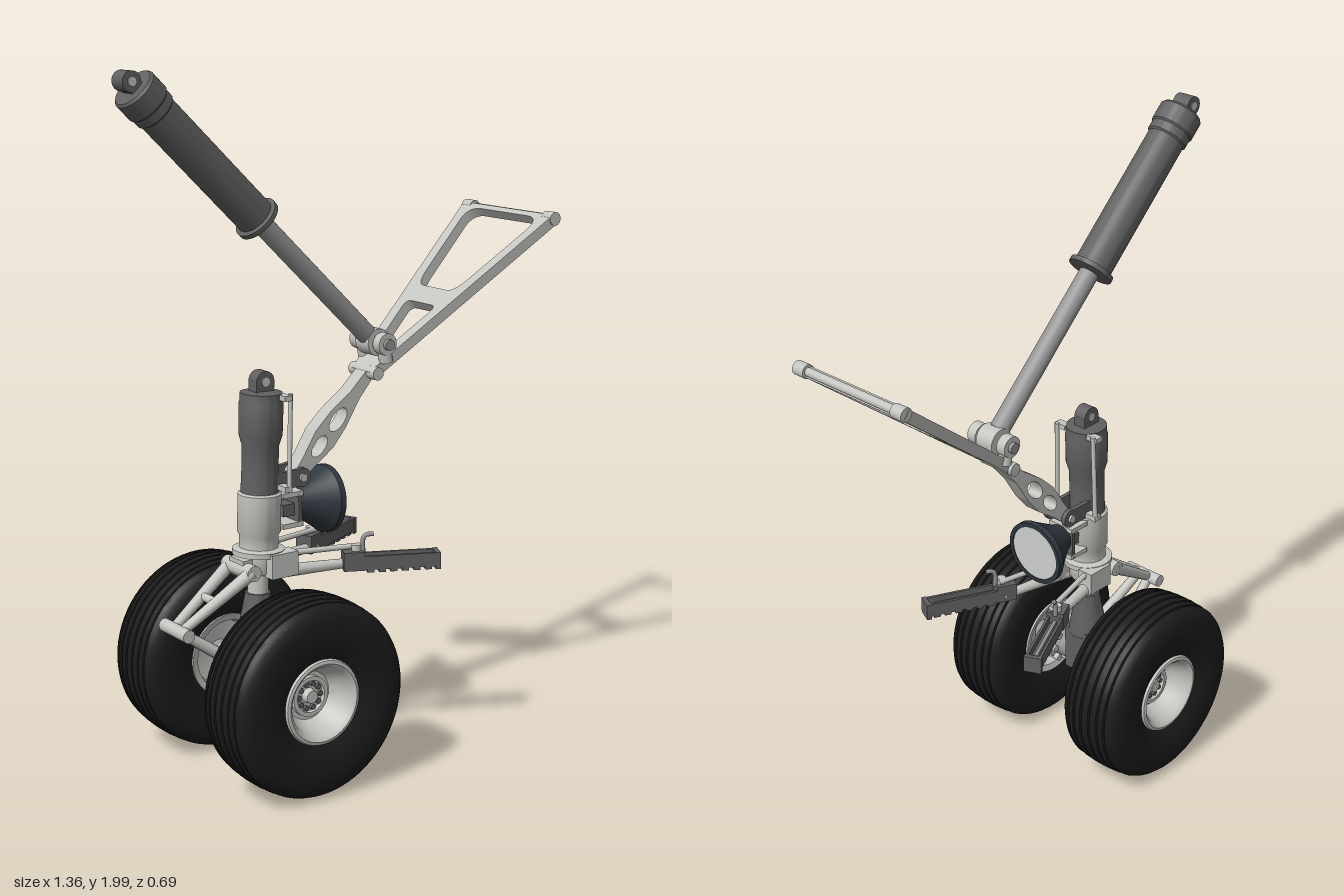
import * as THREE from 'three';
import { toCreasedNormals } from 'three/addons/utils/BufferGeometryUtils.js';

export function createModel() {
  const model = new THREE.Group();
  model.name = 'landingGear';
  const mat = (name, color, side = THREE.FrontSide) => {
    const m = new THREE.MeshStandardMaterial({ color, side });
    m.name = name;
    return m;
  };
  const rubber = mat('tyre rubber', 0x1c1c1c);
  const dark = mat('dark grey metal', 0x606060);
  const mid = mat('mid grey metal', 0x949494);
  const light = mat('light grey metal', 0xc4c4c0);
  const lampBody = mat('lamp housing', 0x2f373e, THREE.DoubleSide);
  const lens = mat('lamp lens', 0xd2d4d4);

  const V = (x, y, z = 0) => new THREE.Vector3(x, y, z);
  const UP = V(0, 1, 0);
  const add = (name, geo, material, parent = model) => {
    const m = new THREE.Mesh(geo, material);
    m.name = name;
    parent.add(m);
    return m;
  };
  // tapered cylinder between two points
  const rod = (name, a, b, r1, r2, material, parent = model, seg = 24) => {
    const m = add(name, new THREE.CylinderGeometry(r2, r1, a.distanceTo(b), seg), material, parent);
    m.position.copy(a).lerp(b, 0.5);
    m.quaternion.setFromUnitVectors(UP, b.clone().sub(a).normalize());
    return m;
  };
  // cylinder lying across the gear
  const pin = (name, x, y, r, z, len, material, parent = model) =>
    rod(name, V(x, y, z - len / 2), V(x, y, z + len / 2), r, r, material, parent);
  const box = (name, w, h, d, x, y, z, material, parent = model) => {
    const m = add(name, new THREE.BoxGeometry(w, h, d), material, parent);
    m.position.set(x, y, z);
    return m;
  };
  const lathe = (name, pts, material, parent = model, seg = 48) =>
    add(name, toCreasedNormals(new THREE.LatheGeometry(pts.map(p => new THREE.Vector2(...p)), seg), 0.6), material, parent);
  const poly = pts => pts.map(p => new THREE.Vector2(...p));
  const plate = (name, outline, holes, depth, material, parent = model) => {
    const s = new THREE.Shape(poly(outline));
    holes.forEach(h => s.holes.push(h));
    const g = new THREE.ExtrudeGeometry(s, { depth, bevelEnabled: false, curveSegments: 16 });
    return add(name, g.translate(0, 0, -depth / 2), material, parent);
  };
  const oval = (x, y, rx, ry) => new THREE.Path().absellipse(x, y, rx, ry, 0, Math.PI * 2, true);
  // hole with rounded corners
  const roundHole = (pts, t = 0.18) => {
    const p = poly(pts), h = new THREE.Path(), n = p.length;
    p.forEach((c, i) => {
      const a = c.clone().lerp(p[(i + n - 1) % n], t), b = c.clone().lerp(p[(i + 1) % n], t);
      i ? h.lineTo(a.x, a.y) : h.moveTo(a.x, a.y);
      h.quadraticCurveTo(c.x, c.y, b.x, b.y);
    });
    return h.closePath();
  };

  // Wheels: grooved tyre, dished rim, bolted hub
  const tread = [];
  for (const y of [-0.07, -0.045, -0.016, 0.016, 0.045, 0.07]) {
    const r = 0.285 - 1.2 * y * y;
    tread.push([r, y - 0.004], [r - 0.008, y - 0.002], [r - 0.008, y + 0.002], [r, y + 0.004]);
  }
  const wall = [[0.12, 0.085], [0.15, 0.1], [0.2, 0.108], [0.24, 0.106], [0.262, 0.098], [0.274, 0.085]];
  const tyreProfile = [...wall.map(([r, y]) => [r, -y]), ...tread, ...wall.slice().reverse()];
  const rimProfile = [[0.03, -0.04], [0.095, -0.05], [0.105, -0.088], [0.125, -0.094], [0.125, 0.085],
    [0.121, 0.094], [0.112, 0.096], [0.1, 0.085], [0.085, 0.045], [0.07, 0.02], [0.001, 0.02]];
  for (const s of [1, -1]) {
    const wheel = new THREE.Group();
    wheel.name = s > 0 ? 'leftWheel' : 'rightWheel';
    wheel.position.set(-0.27, 0.288, s * 0.236);
    wheel.rotation.x = s * Math.PI / 2;
    model.add(wheel);
    lathe('tyre', tyreProfile, rubber, wheel, 72);
    lathe('rim', rimProfile, light, wheel);
    lathe('hubRing', [[0.058, 0.018], [0.058, 0.034], [0.046, 0.034], [0.046, 0.018]], light, wheel);
    rod('hubCap', V(0, 0.02, 0), V(0, 0.04, 0), 0.022, 0.018, light, wheel);
    for (let i = 0; i < 10; i++) {
      const a = i * Math.PI / 5, x = Math.cos(a) * 0.036, z = Math.sin(a) * 0.036;
      rod('hubBolt', V(x, 0.02, z), V(x, 0.03, z), 0.008, 0.008, dark, wheel, 8);
    }
    // brake flange on the inner side
    pin('brakeCollar', -0.27, 0.29, 0.045, s * 0.075, 0.06, mid);
    pin('brakeFlange', -0.27, 0.29, 0.064, s * 0.108, 0.018, light);
    for (let i = 0; i < 8; i++) {
      const a = i * Math.PI / 4;
      pin('brakeBolt', -0.27 + Math.cos(a) * 0.056, 0.29 + Math.sin(a) * 0.056, 0.011, s * 0.105, 0.045, light);
    }
  }
  pin('axle', -0.27, 0.29, 0.032, 0, 0.44, mid);

  // Main strut, leaning slightly
  const strut = new THREE.Group();
  strut.name = 'mainStrut';
  strut.position.set(-0.27, 0.29, 0);
  strut.rotation.z = -0.03;
  model.add(strut);
  box('axleBlock', 0.1, 0.15, 0.1, 0, 0.03, 0, dark, strut);
  lathe('strutFoot', [[0.001, 0.09], [0.06, 0.09], [0.055, 0.12], [0.036, 0.23], [0.001, 0.23]], dark, strut);
  rod('piston', V(0, 0.2, 0), V(0, 0.32, 0), 0.03, 0.03, light, strut);
  lathe('lowerCollar', [[0.001, 0.29], [0.05, 0.29], [0.056, 0.3], [0.056, 0.34], [0.075, 0.345], [0.075, 0.36],
    [0.056, 0.365], [0.056, 0.4], [0.062, 0.41], [0.062, 0.52], [0.055, 0.525], [0.001, 0.525]], light, strut);
  lathe('strutBarrel', [[0.001, 0.52], [0.054, 0.52], [0.052, 0.6], [0.053, 0.66], [0.062, 0.69], [0.063, 0.78],
    [0.06, 0.79], [0.06, 0.81], [0.03, 0.815], [0.001, 0.815]], dark, strut);
  box('topLugBase', 0.06, 0.05, 0.04, 0, 0.82, 0, dark, strut);
  pin('topLug', 0, 0.842, 0.03, 0, 0.04, dark, strut);
  pin('topLugPin', 0, 0.842, 0.013, 0, 0.046, light, strut);
  for (const s of [1, -1]) {
    rod('sideRod', V(-0.205, 0.82, s * 0.076), V(-0.195, 1.1, s * 0.07), 0.007, 0.007, light, model, 10);
    for (const y of [0.83, 1.09]) box('sideRodClip', 0.025, 0.015, 0.04, -0.21, y, s * 0.062, light);
    box('linkBracket', 0.1, 0.05, 0.014, -0.18, 0.845, s * 0.036, dark);
    pin('linkBracketEnd', -0.135, 0.845, 0.028, s * 0.036, 0.014, dark);
  }
  pin('linkBracketPin', -0.135, 0.845, 0.012, 0, 0.1, light);

  // Torque links behind the strut
  const elbow = V(-0.535, 0.458);
  const links = [['upperTorqueLink', V(-0.32, 0.6), light], ['lowerTorqueLink', V(-0.31, 0.3), light]];
  for (const [name, end, m] of links) {
    for (const s of [1, -1]) {
      const a = end.clone().setZ(s * 0.055), b = elbow.clone().setZ(s * 0.02);
      rod(name, a, b, 0.02, 0.014, m, model, 12);
    }
    pin(name + 'Pin', end.x, end.y, 0.023, 0, 0.14, m);
    const bar = end.clone().lerp(elbow, 0.5);
    pin(name + 'Bar', bar.x, bar.y, 0.012, 0, 0.07, m);
  }
  pin('torqueElbow', elbow.x, elbow.y, 0.019, 0, 0.13, light);
  box('torqueLug', 0.06, 0.05, 0.07, -0.305, 0.605, 0, light);

  // Landing lamp
  const lamp = new THREE.Group();
  lamp.name = 'lamp';
  lamp.position.set(-0.14, 0.765, 0);
  lamp.rotation.z = -Math.PI / 2 - 0.06;
  model.add(lamp);
  lathe('lampHousing', [[0.001, 0], [0.04, 0], [0.048, 0.02], [0.088, 0.085], [0.099, 0.1], [0.099, 0.118], [0.086, 0.118]], lampBody, lamp);
  rod('lampLens', V(0, 0.108, 0), V(0, 0.117, 0), 0.087, 0.085, lens, lamp, 48);
  box('lampMount', 0.05, 0.035, 0.05, -0.165, 0.75, 0, dark);
  for (const y of [0.71, 0.8]) box('lampBracket', 0.07, 0.014, 0.09, -0.17, y, 0, light);
  box('lampPlate', 0.012, 0.1, 0.09, -0.145, 0.755, 0, dark);

  // Splayed side arms with channel ends
  for (const s of [1, -1]) {
    const root = V(-0.24, 0.6, s * 0.045);
    rod('armUpperRod', root.clone().setY(0.637), V(0.02, 0.632, s * 0.105), 0.009, 0.008, light, model, 12);
    rod('armLowerRod', root.clone().setY(0.585), V(0.01, 0.583, s * 0.1), 0.02, 0.013, light, model, 12);
    box('armRoot', 0.09, 0.07, 0.05, -0.225, 0.612, s * 0.06, light);
    const arm = new THREE.Group();
    arm.name = s > 0 ? 'leftArm' : 'rightArm';
    arm.position.set(-0.025, 0.585, s * 0.1);
    arm.rotation.y = -s * 0.446;
    model.add(arm);
    box('armBase', 0.27, 0.018, 0.046, 0.135, -0.008, 0, dark, arm);
    for (const z of [-0.02, 0.02]) box('armWall', 0.27, 0.036, 0.008, 0.135, 0.006, z, dark, arm);
    box('armEndCap', 0.014, 0.05, 0.052, 0.267, 0, 0, dark, arm);
    box('armBlock', 0.06, 0.055, 0.052, 0.02, 0.01, 0, dark, arm);
    box('armRib', 0.2, 0.012, 0.01, 0.14, 0.006, 0, mid, arm);
    for (let i = 0; i < 6; i++) box('armTooth', 0.02, 0.012, 0.04, 0.07 + i * 0.034, -0.02, 0, dark, arm);
    rod('armPivot', V(0.03, 0.02, 0), V(0.03, 0.055, 0), 0.014, 0.014, light, arm, 12);
    const hook = new THREE.CatmullRomCurve3([V(0.05, 0.03), V(0.05, 0.07), V(0.058, 0.082), V(0.08, 0.084)]);
    add('armHook', new THREE.TubeGeometry(hook, 12, 0.007, 8), mid, arm);
  }

  // Lower drag link with lightening holes
  const knee = V(0.12, 1.115), foot = V(-0.135, 0.845);
  const len = knee.distanceTo(foot);
  const side = [[-0.015, 0.018], [0.05, 0.026], [0.13, 0.042], [0.2, 0.038], [0.29, 0.02], [len + 0.012, 0.016]];
  const lower = plate('lowerDragLink', [...side.map(([u, v]) => [u, -v]), ...side.slice().reverse()],
    [oval(0.105, 0, 0.035, 0.02), oval(0.2, 0, 0.04, 0.022)], 0.05, light);
  lower.position.copy(foot);
  lower.rotation.z = Math.atan2(knee.y - foot.y, knee.x - foot.x);
  pin('kneePin', knee.x, knee.y, 0.019, 0, 0.12, light);

  // Upper drag brace: tapering frame with two openings
  const tip = V(0.66, 1.535), L = knee.distanceTo(tip), dir = tip.clone().sub(knee).normalize();
  const w = u => 0.042 + 0.235 * u, inner = u => w(u) - 0.036;
  const opening = (a, b) => roundHole([[a, -inner(a)], [a, inner(a)], [b, inner(b)], [b, -inner(b)]]);
  const slot = new THREE.Path(poly([[-0.03, -0.028], [-0.03, 0.028], [0.035, 0.028], [0.035, -0.028]]));
  const brace = plate('upperDragBrace', [[-0.012, -0.042], [L, -w(L)], [L, w(L)], [-0.012, 0.042]],
    [opening(0.1, 0.27), opening(0.335, L - 0.018)], 0.032, light);
  const basis = new THREE.Matrix4().makeBasis(dir, V(0, 0, 1), V(dir.y, -dir.x, 0));
  brace.quaternion.setFromRotationMatrix(basis);
  brace.position.copy(knee);
  for (const s of [1, -1]) {
    pin('braceEnd', tip.x, tip.y, 0.02, s * 0.182, 0.04, light);
    // lugs carrying the actuator
    rod('actuatorLug', V(0.155, 1.145, s * 0.05), V(0.145, 1.2, s * 0.05), 0.02, 0.02, light);
    pin('actuatorLugEar', 0.145, 1.2, 0.032, s * 0.056, 0.03, light);
  }
  pin('braceCrossbar', tip.x, tip.y, 0.012, 0, 0.36, light);

  // Retraction actuator
  const top = V(-0.655, 1.97), bottom = V(0.145, 1.2);
  const act = new THREE.Group();
  act.name = 'actuator';
  act.position.copy(top);
  act.quaternion.setFromUnitVectors(UP, bottom.clone().sub(top).normalize());
  model.add(act);
  lathe('actuatorBody', [[0.001, 0.025], [0.058, 0.025], [0.064, 0.032], [0.064, 0.085], [0.06, 0.09], [0.06, 0.115],
    [0.055, 0.12], [0.055, 0.545], [0.067, 0.548], [0.067, 0.562], [0.04, 0.566], [0.001, 0.566]], dark, act);
  rod('actuatorRod', V(0, 0.55, 0), V(0, 1.08, 0), 0.029, 0.029, mid, act);
  box('eyeNeck', 0.04, 0.04, 0.05, 0, 0.02, 0, dark, act);
  pin('topEye', top.x, top.y, 0.028, 0, 0.055, dark);
  pin('topEyePin', top.x, top.y, 0.012, 0, 0.06, light);
  pin('rodEye', bottom.x, bottom.y, 0.04, 0, 0.06, light);
  pin('rodEyePin', bottom.x, bottom.y, 0.016, 0, 0.165, mid);

  return model;
}
